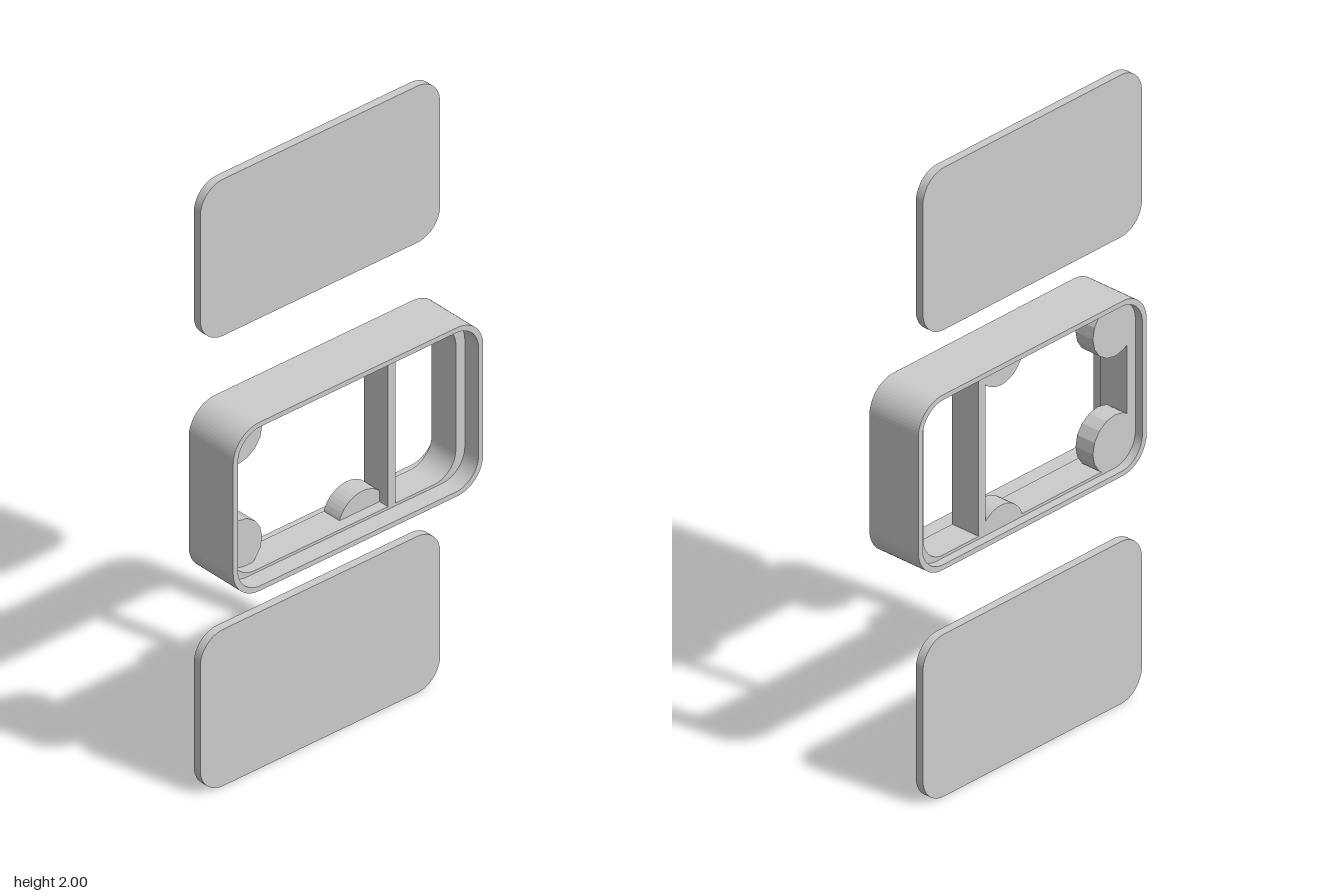
import * as THREE from 'three';

const MID = 1;                              // height of the frame's centre
const BACK = -0.093, FRONT = 0.093;
const LEDGE_BACK = -0.066, LEDGE_FRONT = 0.035;
const DISC_R = 0.09;

export function createModel() {
  const model = new THREE.Group();
  model.name = 'caseWithLids';
  const material = new THREE.MeshStandardMaterial({ color: 0xcccccc, flatShading: true });

  // Rounded rectangle centred on the origin, from half sizes and corner radius
  const outline = (w, h, r, Type = THREE.Shape) => {
    const s = new Type();
    s.absarc(w - r, h - r, r, 0, Math.PI / 2);
    s.absarc(r - w, h - r, r, Math.PI / 2, Math.PI);
    s.absarc(r - w, r - h, r, Math.PI, Math.PI * 1.5);
    s.absarc(w - r, r - h, r, Math.PI * 1.5, Math.PI * 2);
    s.closePath();
    return s;
  };

  // Extrude a shape between two depths and add it under a name
  const slab = (name, shape, z0, z1, y = MID, x = 0, parent = model) => {
    const geometry = new THREE.ExtrudeGeometry(shape, {
      depth: z1 - z0, bevelEnabled: false, curveSegments: 8,
    });
    const mesh = new THREE.Mesh(geometry, material);
    mesh.name = name;
    mesh.position.set(x, y, z0);
    parent.add(mesh);
    return mesh;
  };

  // Frame: a narrow inner wall between two recessed rims
  const frame = new THREE.Group();
  frame.name = 'frame';
  model.add(frame);
  const ring = (name, z0, z1, w, h, r) => {
    const shape = outline(0.462, 0.278, 0.097);
    shape.holes.push(outline(w, h, r, THREE.Path));
    slab(name, shape, z0, z1, MID, 0, frame);
  };
  ring('backRim', BACK, LEDGE_BACK, 0.445, 0.262, 0.085);
  ring('innerWall', LEDGE_BACK, LEDGE_FRONT, 0.412, 0.253, 0.08);
  ring('frontRim', LEDGE_FRONT, FRONT, 0.445, 0.262, 0.085);

  // Divider across the opening
  const divider = new THREE.Mesh(
    new THREE.BoxGeometry(0.028, 0.52, LEDGE_FRONT - LEDGE_BACK), material);
  divider.name = 'divider';
  divider.position.set(0.175, MID, (LEDGE_FRONT + LEDGE_BACK) / 2);
  model.add(divider);

  // Full posts in the corners and cut-off posts beside the divider
  const disc = new THREE.Shape().absarc(0, 0, DISC_R, 0, Math.PI * 2);
  const a = Math.asin(0.02 / DISC_R);
  const segment = new THREE.Shape().absarc(0, 0, DISC_R, Math.PI + a, Math.PI * 2 - a);
  segment.closePath();
  for (const side of [1, -1]) {
    const level = side > 0 ? 'upper' : 'lower';
    slab(level + 'CornerPost', disc, LEDGE_BACK, 0, MID + side * 0.183, -0.363);
    const post = slab(level + 'MiddlePost', segment, LEDGE_BACK, 0, MID + side * 0.281, 0.098);
    if (side < 0) post.rotation.z = Math.PI;
    // Flat lids above and below the frame
    slab(level + 'Lid', outline(0.443, 0.258, 0.085), BACK, LEDGE_BACK, MID + side * 0.742);
  }
  return model;
}
